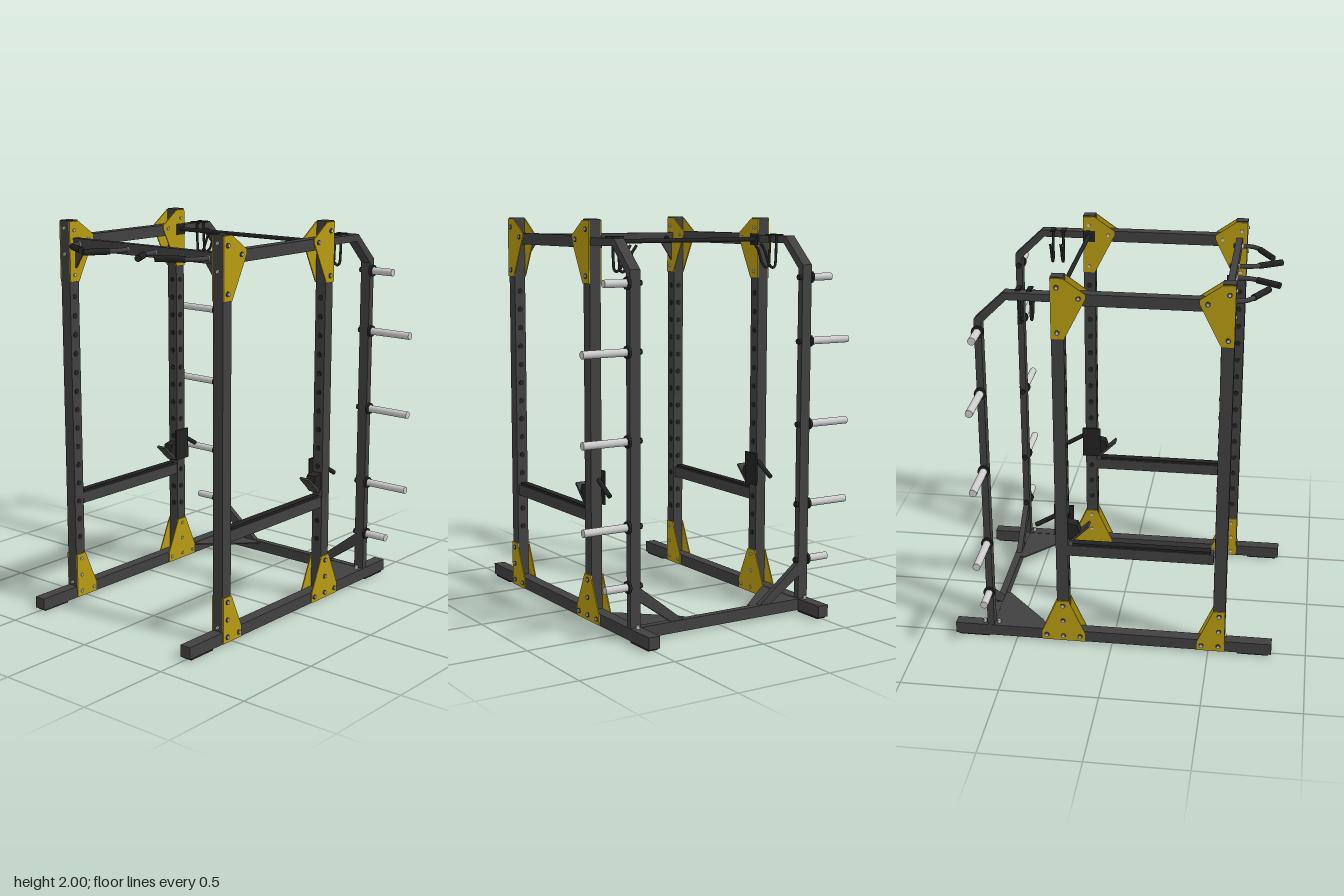
import * as THREE from 'three';

const mat = (name, color) => {
  const m = new THREE.MeshStandardMaterial({ color });
  m.name = name;
  return m;
};

export function createModel() {
  const root = new THREE.Group();
  root.name = 'powerRack';
  const frame = mat('charcoal frame', 0x404040);
  const yellow = mat('yellow plate', 0xb89b10);
  const steel = mat('light steel', 0xcccccc);
  const black = mat('black', 0x222222);

  const add = (name, geo, m, x = 0, y = 0, z = 0) => {
    const mesh = new THREE.Mesh(geo, m);
    mesh.name = name;
    mesh.position.set(x, y, z);
    root.add(mesh);
    return mesh;
  };
  // Box given by its limits on each axis
  const box = (name, m, [x0, x1], [y0, y1], [z0, z1]) =>
    add(name, new THREE.BoxGeometry(Math.abs(x1 - x0), y1 - y0, z1 - z0), m,
      (x0 + x1) / 2, (y0 + y1) / 2, (z0 + z1) / 2);
  const extrude = (pts, depth) => new THREE.ExtrudeGeometry(
    new THREE.Shape(pts.map(p => new THREE.Vector2(...p))),
    { depth, bevelEnabled: false }).translate(0, 0, -depth / 2);
  // Outline in (z, y), thickness along x
  const sidePlate = (name, m, pts, x, depth) =>
    add(name, extrude(pts, depth).rotateY(-Math.PI / 2), m, x);
  // Outline in (x, y), thickness along z
  const frontPlate = (name, m, pts, z, depth) => add(name, extrude(pts, depth), m, 0, 0, z);
  // Round bar along x or z
  const barX = (name, m, r, x0, x1, y, z, n = 20) =>
    add(name, new THREE.CylinderGeometry(r, r, Math.abs(x1 - x0), n).rotateZ(Math.PI / 2), m, (x0 + x1) / 2, y, z);
  const barZ = (name, m, r, z0, z1, x, y, n = 16) =>
    add(name, new THREE.CylinderGeometry(r, r, Math.abs(z1 - z0), n).rotateX(Math.PI / 2), m, x, y, (z0 + z1) / 2);
  const rod = (name, m, r, a, b) => {
    const p = new THREE.Vector3(...a), q = new THREE.Vector3(...b), d = q.clone().sub(p);
    const mesh = add(name, new THREE.CylinderGeometry(r, r, d.length(), 16), m);
    mesh.position.copy(p).lerp(q, 0.5);
    mesh.quaternion.setFromUnitVectors(new THREE.Vector3(0, 1, 0), d.normalize());
    return mesh;
  };
  const tube = (name, m, r, pts, n = 30) => add(name, new THREE.TubeGeometry(
    new THREE.CatmullRomCurve3(pts.map(p => new THREE.Vector3(...p)), false, 'catmullrom', 0.3), n, r, 10), m);

  const FRONT = [0.522, 0.584], REAR = [-0.284, -0.222];

  // Corner plates as (z, y) outlines, each with its bolt positions
  const cornerPlates = [
    { pts: [[0.584, 1.995], [0.523, 1.995], [0.416, 1.92], [0.416, 1.9], [0.523, 1.69], [0.584, 1.69]],
      bolts: [[0.555, 1.95], [0.555, 1.725], [0.455, 1.9]] },
    { pts: [[-0.284, 1.995], [-0.222, 1.995], [-0.115, 1.92], [-0.115, 1.9], [-0.222, 1.69], [-0.284, 1.69]],
      bolts: [[-0.253, 1.95], [-0.253, 1.725], [-0.15, 1.9]] },
    { pts: [[0.584, 0.247], [0.523, 0.247], [0.443, 0.065], [0.443, 0.012], [0.584, 0.012]],
      bolts: [[0.553, 0.22], [0.553, 0.13], [0.553, 0.04], [0.465, 0.04]] },
    { pts: [[-0.222, 0.247], [-0.284, 0.247], [-0.363, 0.065], [-0.363, 0.012], [-0.14, 0.012], [-0.14, 0.065]],
      bolts: [[-0.253, 0.22], [-0.253, 0.13], [-0.253, 0.04], [-0.165, 0.04], [-0.34, 0.04]] },
  ];

  for (const s of [1, -1]) {
    const X = (a, b) => [s * a, s * b];

    // Base rail, feet and uprights
    box('baseRail', frame, X(0.47, 0.53), [0.01, 0.07], [-0.825, 0.825]);
    for (const z of [-0.73, 0.73]) box('foot', black, X(0.475, 0.525), [0, 0.01], [z - 0.08, z + 0.08]);
    box('frontUpright', frame, X(0.47, 0.53), [0.07, 2], FRONT);
    box('rearUpright', frame, X(0.47, 0.53), [0.07, 2], REAR);
    box('topSideBeam', frame, X(0.472, 0.528), [1.862, 1.92], [-0.222, 0.522]);

    // Adjustment holes on the inward faces
    for (let i = 0; i < 14; i++) {
      const y = 0.34 + i * 0.098;
      barZ('hole', black, 0.014, 0.519, 0.523, s * 0.5, y);
      barZ('hole', black, 0.014, -0.223, -0.219, s * 0.5, y);
      barX('hole', black, 0.014, s * 0.467, s * 0.471, y, 0.553);
      barX('hole', black, 0.014, s * 0.467, s * 0.471, y, -0.253);
    }

    // Corner plates, inside and outside, with through bolts
    for (const { pts, bolts } of cornerPlates) {
      for (const x of [0.467, 0.533]) sidePlate('cornerPlate', yellow, pts, s * x, 0.006);
      for (const [z, y] of bolts) {
        barX('bolt', steel, 0.009, s * 0.458, s * 0.545, y, z, 6);
        barX('washer', frame, 0.013, s * 0.534, s * 0.539, y, z, 16);
      }
    }
    for (const y of [1.96, 1.83, 0.09]) barZ('frontBolt', steel, 0.009, 0.582, 0.592, s * 0.5, y, 6);

    // Safety beam between the uprights
    box('safetyBeam', frame, X(0.475, 0.525), [0.515, 0.573], [-0.222, 0.516]);
    box('safetyBeamPad', black, X(0.48, 0.52), [0.573, 0.585], [-0.2, 0.5]);

    // Rear storage post with bent top arm
    sidePlate('storagePost', frame, [[-0.284, 1.912], [-0.508, 1.912], [-0.655, 1.772], [-0.655, 0.07],
      [-0.62, 0.07], [-0.62, 1.752], [-0.495, 1.875], [-0.284, 1.875]], s * 0.5, 0.056);
    for (const z of [-0.6, -0.675]) add('postBolt', new THREE.CylinderGeometry(0.009, 0.009, 0.02, 6), steel, s * 0.5, 0.078, z);

    // Storage pegs
    for (const [y, end] of [[1.71, 0.66], [1.39, 0.775], [0.97, 0.775], [0.56, 0.775], [0.27, 0.66]]) {
      barX('pegCollar', black, 0.03, s * 0.526, s * 0.54, y, -0.638, 24);
      barX('peg', steel, 0.019, s * 0.54, s * end, y, -0.638, 24);
      barX('pegNut', black, 0.015, s * 0.457, s * 0.473, y, -0.638, 6);
    }

    // Hanging hooks under the storage arm
    for (const z of [-0.39, -0.445]) {
      box('hookMount', black, X(0.44, 0.5), [1.912, 1.92], [z - 0.012, z + 0.012]);
      tube('hook', black, 0.007, [[s * 0.462, 1.915, z], [s * 0.462, 1.84, z], [s * 0.458, 1.765, z],
        [s * 0.44, 1.75, z], [s * 0.415, 1.775, z], [s * 0.39, 1.84, z], [s * 0.365, 1.875, z]]);
    }

    // Bar cup on the rear upright
    box('cupSidePlate', black, X(0.457, 0.466), [0.6, 0.77], [-0.3, -0.2]);
    sidePlate('cupBody', black, [[-0.222, 0.61], [-0.195, 0.61], [-0.16, 0.645], [-0.175, 0.69], [-0.222, 0.7]], s * 0.495, 0.055);
    sidePlate('cupLip', frame, [[-0.2, 0.598], [-0.113, 0.683], [-0.121, 0.691], [-0.208, 0.606]], s * 0.495, 0.06);
    rod('cupHandle', black, 0.012, [s * 0.485, 0.725, -0.28], [s * 0.485, 0.66, -0.39]);

    // Rear corner gusset and diagonal brace
    add('floorGusset', extrude([[s * 0.47, 0.63], [s * 0.195, 0.63], [s * 0.195, 0.6], [s * 0.44, 0.375], [s * 0.47, 0.36]], 0.008)
      .rotateX(-Math.PI / 2), frame, 0, 0.064, 0);
    frontPlate('rearBrace', frame, [[s * 0.472, 0.26], [s * 0.23, 0.07], [s * 0.3, 0.07], [s * 0.472, 0.19]], -0.64, 0.03);

    // Front beam corner brace
    frontPlate('topBrace', frame, [[s * 0.47, 1.857], [s * 0.395, 1.857], [s * 0.47, 1.75]], 0.543, 0.008);

    // Angled pull-up handles: outer and inner
    const handles = [
      [[0.42, 0.53], [0.42, 0.6], [0.39, 0.645], [0.24, 0.725]],
      [[0.09, 0.53], [0.09, 0.6], [0.1, 0.645], [0.178, 0.775]],
    ];
    for (const h of handles) {
      const p = h.map(([x, z]) => [s * x, 1.883, z]);
      tube('handle', frame, 0.012, p);
      const mid = p[2].map((v, i) => v + (p[3][i] - v) * 0.15);
      rod('handleGrip', black, 0.016, mid, p[3]);
      barZ('handleNut', black, 0.012, 0.515, 0.53, p[0][0], 1.883, 6);
      barZ('handleWasher', steel, 0.014, 0.56, 0.566, p[0][0], 1.883);
    }

    // Pull-up bar bracket
    box('barBracket', black, X(0.462, 0.47), [1.86, 1.92], [-0.285, -0.22]);
  }

  // Cross members
  box('frontTopBeam', frame, [-0.47, 0.47], [1.857, 1.912], [0.526, 0.56]);
  box('rearBaseBeam', frame, [-0.47, 0.47], [0.012, 0.07], [-0.66, -0.624]);
  barX('pullUpBar', black, 0.011, -0.465, 0.465, 1.89, -0.255);

  return root;
}
